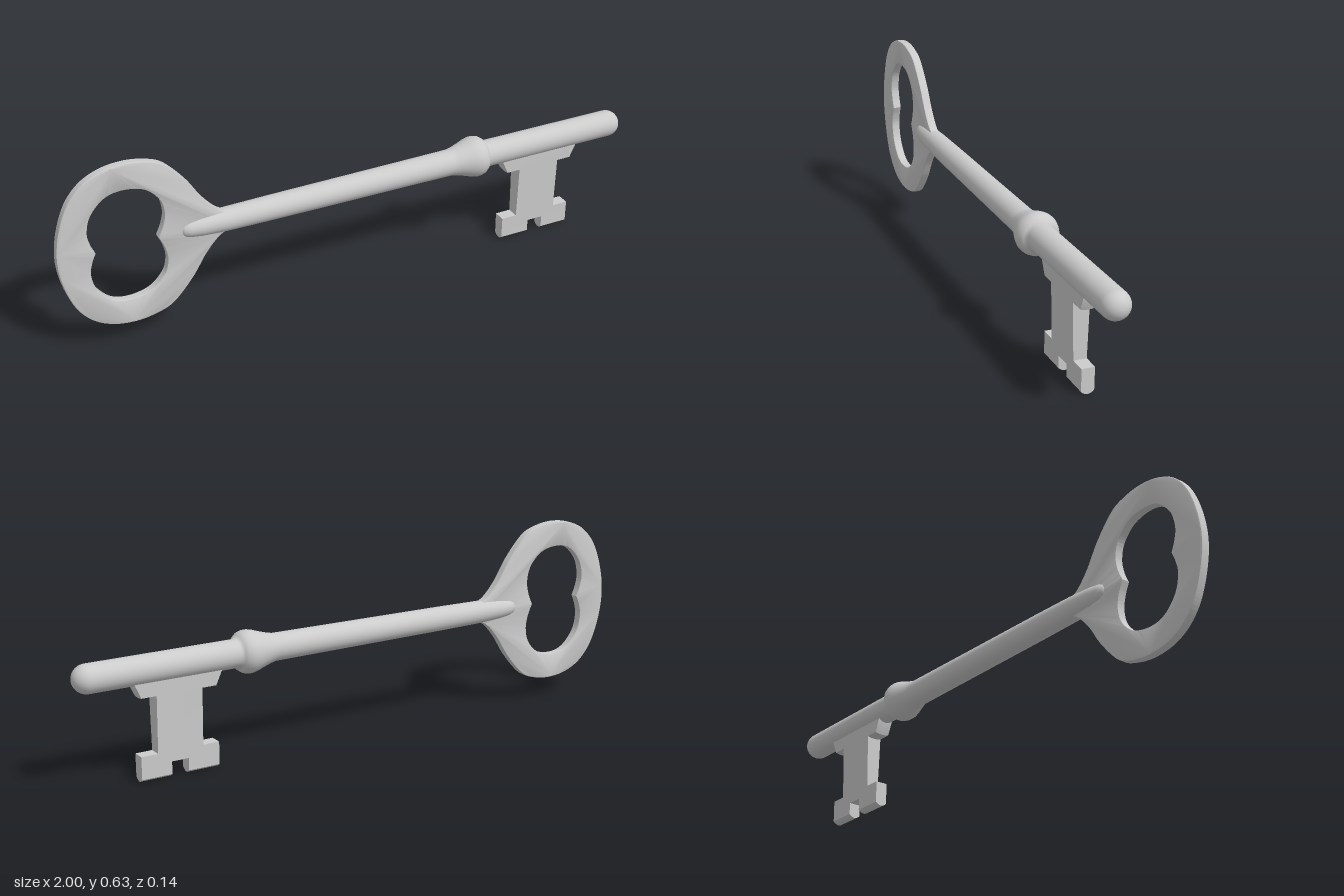
import * as THREE from 'three';
import { toCreasedNormals } from 'three/addons/utils/BufferGeometryUtils.js';

const AXIS_Y = 0.347;
const material = new THREE.MeshStandardMaterial({ color: 0xcccccc });
const vec = (pts) => pts.map(([x, y]) => new THREE.Vector2(x, y));
const mirrored = (pts) => pts.map(([x, y]) => [x, -y]).reverse();

function addMesh(group, name, geometry) {
  const mesh = new THREE.Mesh(geometry, material);
  mesh.name = name;
  group.add(mesh);
  return mesh;
}

// Round shaft with a blunt tapered end, a swollen collar and a domed tip
function shaftGeometry() {
  const profile = [
    [0, -0.61], [0.013, -0.607], [0.023, -0.598], [0.029, -0.58], [0.034, -0.54], [0.038, -0.46],
    [0.040, -0.3], [0.043, 0.2], [0.044, 0.335], [0.048, 0.355], [0.057, 0.385], [0.064, 0.405],
    [0.068, 0.422], [0.068, 0.436], [0.064, 0.45], [0.056, 0.461], [0.045, 0.468], [0.045, 0.955],
  ];
  for (let i = 1; i <= 8; i++) {
    const a = (i / 8) * Math.PI / 2;
    profile.push([i === 8 ? 0 : 0.045 * Math.cos(a), 0.955 + 0.045 * Math.sin(a)]);
  }
  return new THREE.LatheGeometry(vec(profile), 40).rotateZ(-Math.PI / 2);
}

// Flat oval bow with a double-lobed opening and softened rims
function bowGeometry() {
  const outer = [
    [-0.44, 0.028], [-0.483, 0.046], [-0.53, 0.096], [-0.58, 0.172], [-0.645, 0.243], [-0.70, 0.268],
    [-0.767, 0.278], [-0.84, 0.269], [-0.905, 0.237], [-0.955, 0.178], [-0.988, 0.09],
  ];
  const shape = new THREE.Shape();
  shape.moveTo(...outer[0]);
  shape.splineThru(vec([...outer.slice(1), [-1, 0], ...mirrored(outer)]));
  shape.closePath();

  const lobe = [
    [-0.682, 0], [-0.665, 0.04], [-0.658, 0.085], [-0.672, 0.135], [-0.717, 0.178], [-0.783, 0.192],
    [-0.84, 0.178], [-0.885, 0.13], [-0.9, 0.075], [-0.894, 0.035], [-0.88, 0],
  ];
  const hole = new THREE.Path();
  hole.moveTo(...lobe[0]);
  hole.splineThru(vec(lobe.slice(1)));
  hole.splineThru(vec(mirrored(lobe).slice(1)));
  shape.holes.push(hole);

  const geometry = new THREE.ExtrudeGeometry(shape, {
    depth: 0.02, curveSegments: 60, bevelThickness: 0.005, bevelSize: 0.005, bevelOffset: -0.005, bevelSegments: 2,
  });
  return toCreasedNormals(geometry.translate(0, 0, -0.01), 0.6);
}

// Bit: notched plate, thinner towards the foot, with rounded lower faces
function bitGeometry() {
  const outline = [
    [0.53, 0.325], [0.53, 0.31], [0.55, 0.262], [0.597, 0.262], [0.597, 0.083], [0.543, 0.083],
    [0.543, 0], [0.647, 0], [0.647, 0.05], [0.703, 0.05], [0.703, 0], [0.803, 0],
    [0.803, 0.083], [0.748, 0.083], [0.748, 0.262], [0.797, 0.262], [0.817, 0.31], [0.817, 0.325],
  ];
  const geometry = new THREE.ExtrudeGeometry(new THREE.Shape(vec(outline)), {
    depth: 2, steps: 8, bevelEnabled: false,
  }).translate(0, 0, -1);
  const p = geometry.attributes.position;
  for (let i = 0; i < p.count; i++) {
    const y = p.getY(i), t = p.getZ(i);
    const half = y > 0.08 ? 0.021 + 0.006 * Math.min(1, (y - 0.08) / 0.2) : 0.0205;
    const lift = y < 0.001 ? 0.01 : Math.abs(y - 0.262) < 0.001 ? 0.004 : 0;
    p.setXYZ(i, p.getX(i), y + lift * t * t, t * half);
  }
  return toCreasedNormals(geometry, 0.5);
}

export function createModel() {
  const key = new THREE.Group();
  key.name = 'key';
  addMesh(key, 'shaft', shaftGeometry()).position.y = AXIS_Y;
  addMesh(key, 'bow', bowGeometry()).position.y = AXIS_Y;
  addMesh(key, 'bit', bitGeometry());
  return key;
}
